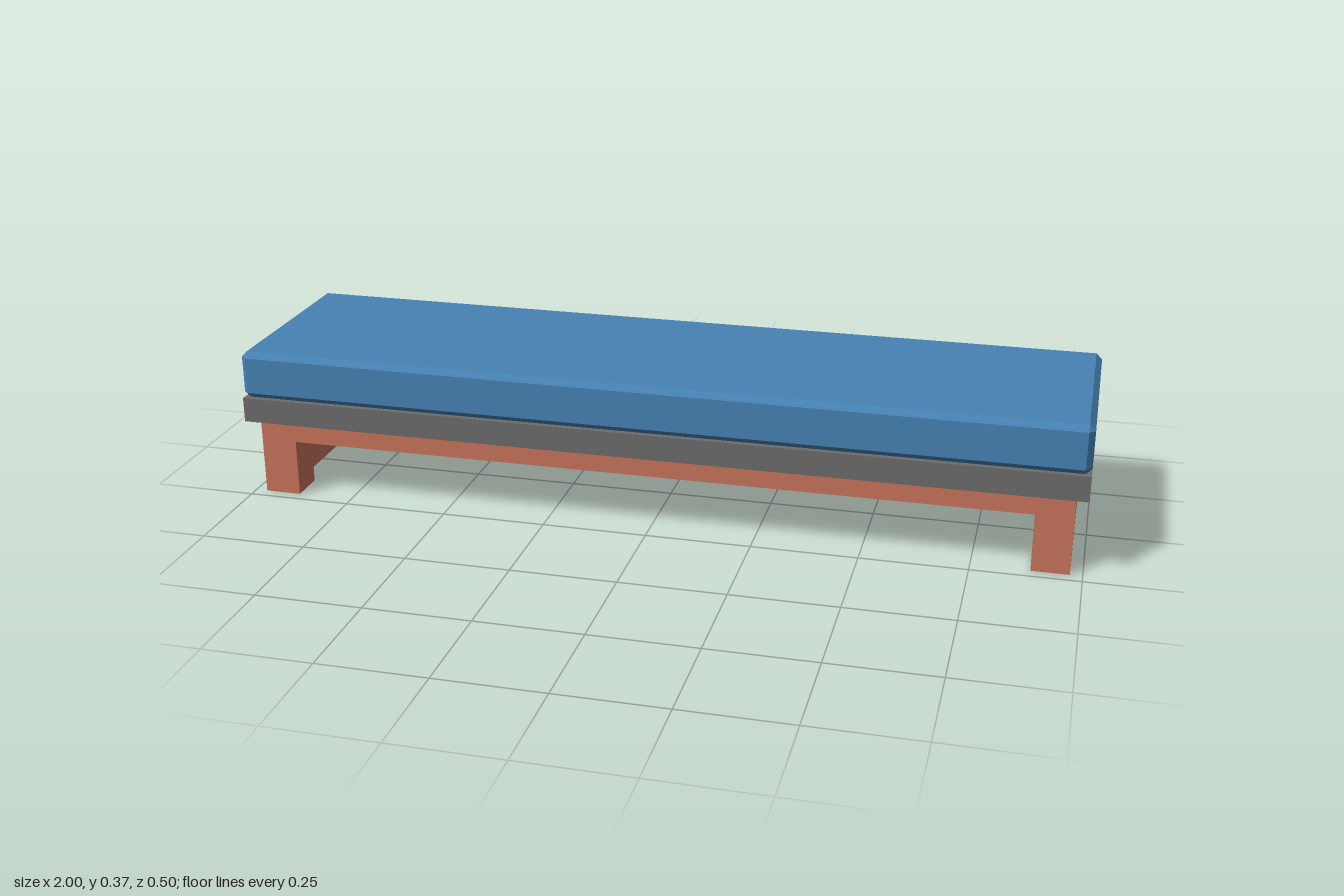
import * as THREE from 'three';
import { ConvexGeometry } from 'three/addons/geometries/ConvexGeometry.js';

const SIGNS = [-1, 1];

// Box with every edge and corner chamfered by c
function chamferedBox(w, h, d, c) {
  const [x, y, z] = [w / 2, h / 2, d / 2];
  const points = [];
  for (const sx of SIGNS) for (const sy of SIGNS) for (const sz of SIGNS) {
    points.push(
      new THREE.Vector3(sx * x, sy * (y - c), sz * (z - c)),
      new THREE.Vector3(sx * (x - c), sy * y, sz * (z - c)),
      new THREE.Vector3(sx * (x - c), sy * (y - c), sz * z));
  }
  return new ConvexGeometry(points);
}

// Slab whose underside tapers in to a smaller rectangle
function taperedSlab(levels) {
  const points = [];
  for (const [y, x, z] of levels) for (const sx of SIGNS) for (const sz of SIGNS) {
    points.push(new THREE.Vector3(sx * x, y, sz * z));
  }
  return new ConvexGeometry(points);
}

function polygon(Type, pairs) {
  return new Type(pairs.map(([x, y]) => new THREE.Vector2(x, y)));
}

export function createModel() {
  const material = (name, color) => {
    const m = new THREE.MeshStandardMaterial({ color });
    m.name = name;
    return m;
  };
  const blue = material('blue fabric', 0x4682b4);
  const grey = material('grey platform', 0x6c6c6e);
  const wood = material('reddish wood', 0xc9755c);

  const bench = new THREE.Group();
  bench.name = 'bench';
  const add = (name, geometry, mat, x = 0, y = 0, z = 0) => {
    const mesh = new THREE.Mesh(geometry, mat);
    mesh.name = name;
    mesh.position.set(x, y, z);
    bench.add(mesh);
  };

  // Cushion and the platform beneath it
  add('cushion', chamferedBox(2, 0.116, 0.5, 0.014), blue, 0, 0.31, 0);
  add('platform', taperedSlab([[0.185, 0.972, 0.222], [0.192, 1, 0.25], [0.252, 1, 0.25]]), grey);

  // Solid deck between the two end frames
  add('deck', new THREE.BoxGeometry(1.77, 0.047, 0.444), wood, 0, 0.1615, 0);

  // End frames: two legs joined by a low rail, with a slot above it
  const profile = polygon(THREE.Shape, [
    [-0.222, 0], [-0.135, 0], [-0.135, 0.036], [0.135, 0.036],
    [0.135, 0], [0.222, 0], [0.222, 0.185], [-0.222, 0.185]]);
  profile.holes.push(polygon(THREE.Path, [
    [-0.135, 0.105], [-0.135, 0.138], [0.135, 0.138], [0.135, 0.105]]));
  const depth = 0.087;
  const frame = new THREE.ExtrudeGeometry(profile, { depth, bevelEnabled: false });
  frame.translate(0, 0, -depth / 2).rotateY(Math.PI / 2);
  add('leftEndFrame', frame, wood, 0.9285);
  add('rightEndFrame', frame, wood, -0.9285);

  return bench;
}
